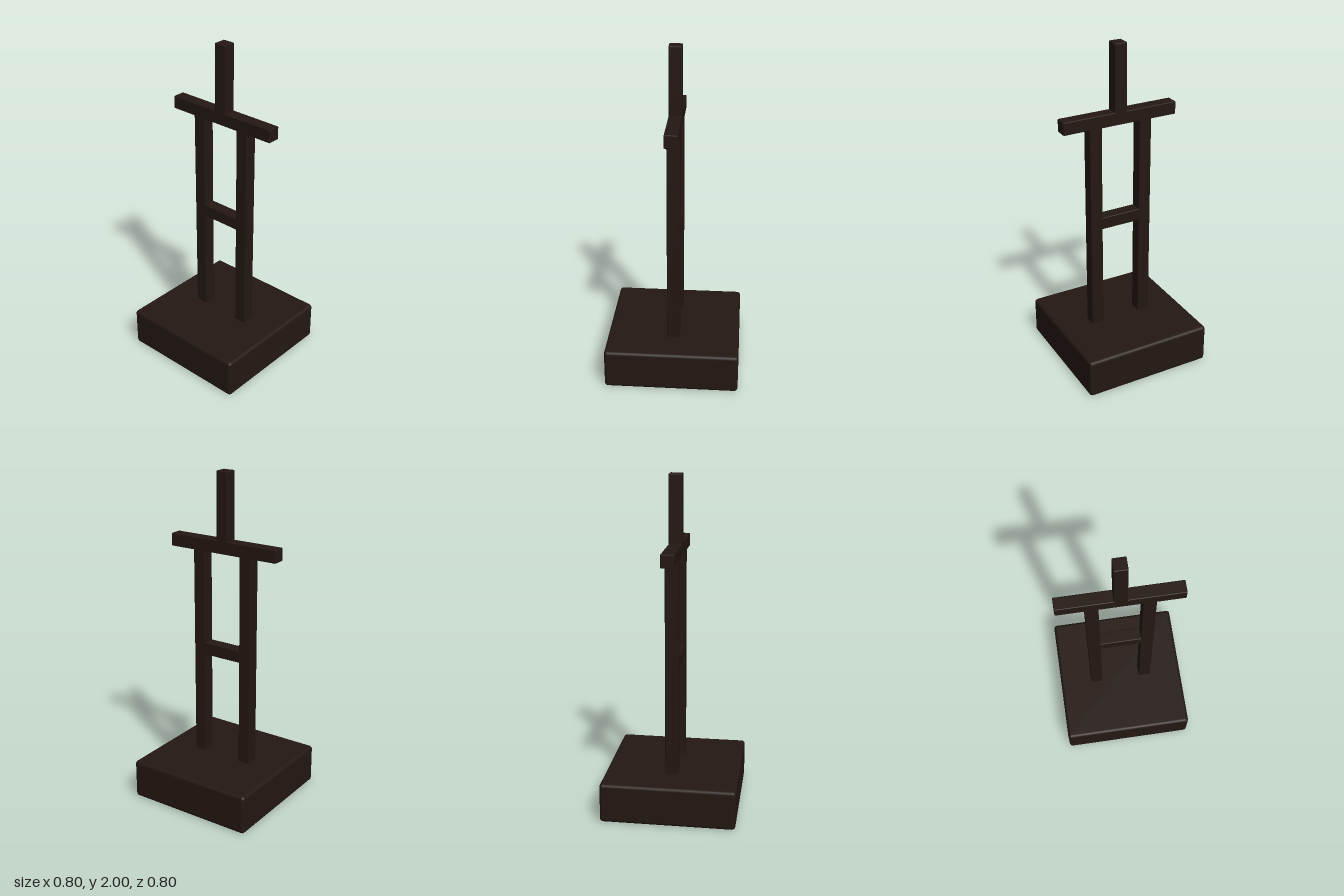
import * as THREE from 'three';
import { RoundedBoxGeometry } from 'three/addons/geometries/RoundedBoxGeometry.js';

export function createModel() {
  const group = new THREE.Group();
  const wood = new THREE.MeshStandardMaterial({ color: 0x241812 });

  // Softly rounded block given by its lower and upper corners
  function block(name, [x0, y0, z0], [x1, y1, z1], radius) {
    const geometry = new RoundedBoxGeometry(x1 - x0, y1 - y0, z1 - z0, 3, radius);
    const mesh = new THREE.Mesh(geometry, wood);
    mesh.name = name;
    mesh.position.set((x0 + x1) / 2, (y0 + y1) / 2, (z0 + z1) / 2);
    group.add(mesh);
  }

  const t = 0.038; // half thickness of every bar
  const r = 0.005; // edge rounding of the bars

  // Heavy square foot
  block('base', [-0.4, 0, -0.4], [0.4, 0.24, 0.4], 0.02);

  // Pair of uprights standing in the base
  for (const [name, x] of [['leftPost', 0.16], ['rightPost', -0.16]]) {
    block(name, [x - t, 0.2, -t], [x + t, 1.54, t], r);
  }

  // Rung between the uprights, ends let into them
  block('rung', [-0.135, 0.885, -t], [0.135, 0.96, t], r);

  // Overhanging crossbar and the spindle above it
  block('crossbar', [-0.36, 1.525, -t], [0.36, 1.602, t], r);
  block('topPost', [-t, 1.585, -t], [t, 2, t], r);

  return group;
}
